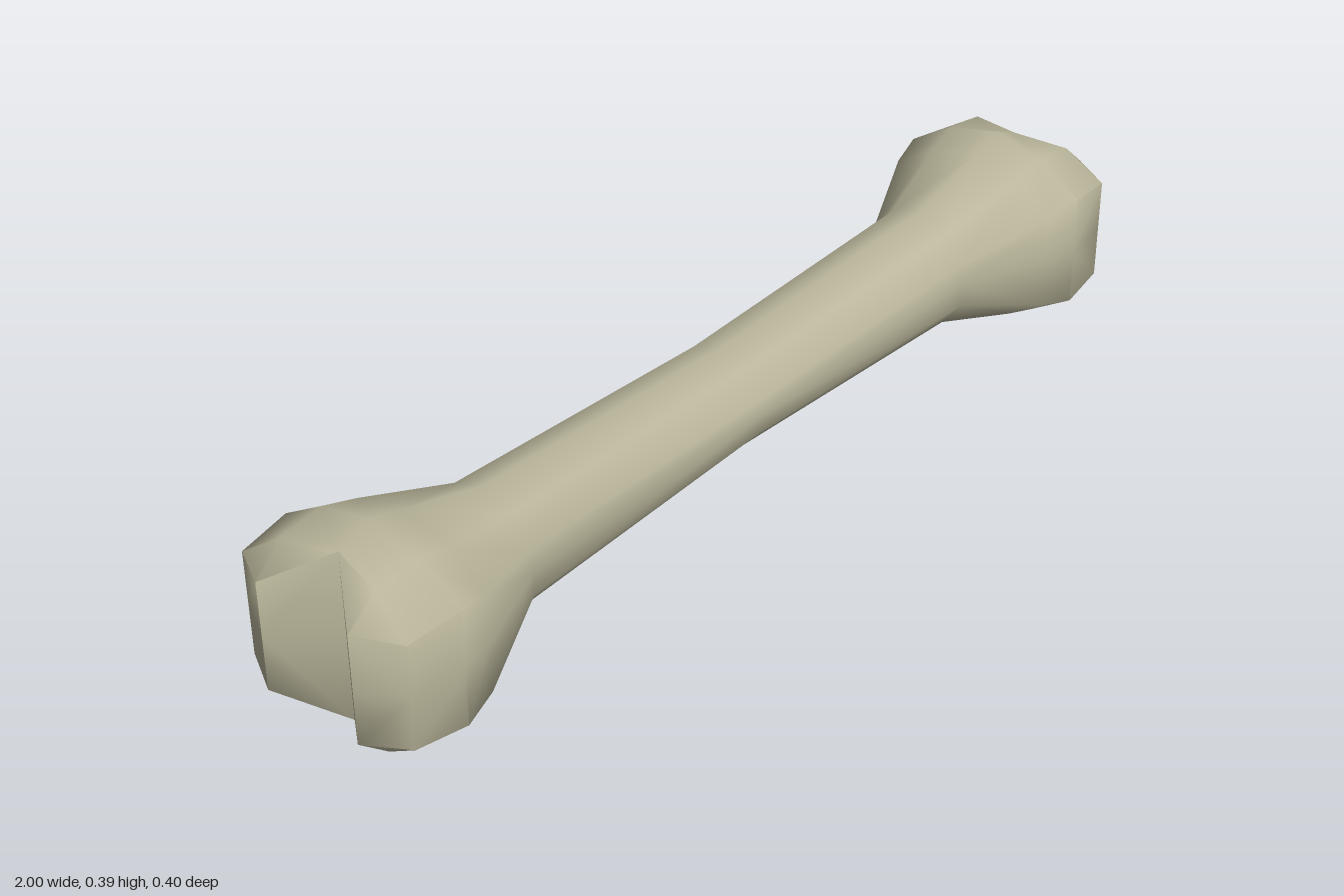
import * as THREE from 'three';
import { toCreasedNormals } from 'three/addons/utils/BufferGeometryUtils.js';

const MID_Y = 0.198;

// One eighth of the bone: each row runs from the crest (z = 0) round to the side (y = 0), as [x, y, z]
const section = (x, top, shoulder, side) => [
  [x, top, 0], [x, ...shoulder], [x, ...side], [x, 0, side[1]],
];
const rows = [
  section(0, 0.1, [0.081, 0.059], [0.034, 0.1]),
  section(0.6, 0.124, [0.1, 0.066], [0.046, 0.108]),
  section(0.78, 0.174, [0.15, 0.103], [0.098, 0.184]),
  section(0.85, 0.196, [0.171, 0.107], [0.114, 0.199]),
  [[0.915, 0.169, 0], [0.94, 0.16, 0.107], [0.955, 0.103, 0.187], [0.955, 0, 0.187]],
];

function eighthTriangles() {
  const tris = [];
  const quad = (a, b, c, d) => tris.push([a, b, d], [b, c, d]);

  // Shaft and flared knob
  for (let i = 0; i < rows.length - 1; i++) {
    for (let j = 0; j < 3; j++) quad(rows[i][j], rows[i][j + 1], rows[i + 1][j + 1], rows[i + 1][j]);
  }

  // Rounded lobe end, then the V notch between the two lobes
  const [crest, shoulder, side, sideMid] = rows[rows.length - 1];
  const tip = [1, 0.108, 0.104], tipMid = [1, 0, 0.104], notchMid = [0.915, 0, 0];
  tris.push([crest, shoulder, tip], [shoulder, side, tip]);
  quad(side, sideMid, tipMid, tip);
  tris.push([crest, tip, tipMid], [crest, tipMid, notchMid]);
  return tris;
}

export function createModel() {
  // Mirror the eighth across all three planes, reversing corners on odd mirrors
  const positions = [];
  const tris = eighthTriangles();
  for (const sx of [1, -1]) for (const sy of [1, -1]) for (const sz of [1, -1]) {
    for (const [a, b, c] of tris) {
      const corners = sx * sy * sz > 0 ? [a, b, c] : [a, c, b];
      for (const [x, y, z] of corners) positions.push(sx * x, MID_Y + sy * y, sz * z);
    }
  }
  const geometry = new THREE.BufferGeometry();
  geometry.setAttribute('position', new THREE.Float32BufferAttribute(positions, 3));

  const bone = new THREE.Mesh(
    toCreasedNormals(geometry, THREE.MathUtils.degToRad(62)),
    new THREE.MeshStandardMaterial({ color: 0xbab69b }),
  );
  bone.name = 'bone';

  const group = new THREE.Group();
  group.name = 'boneModel';
  group.add(bone);
  return group;
}
